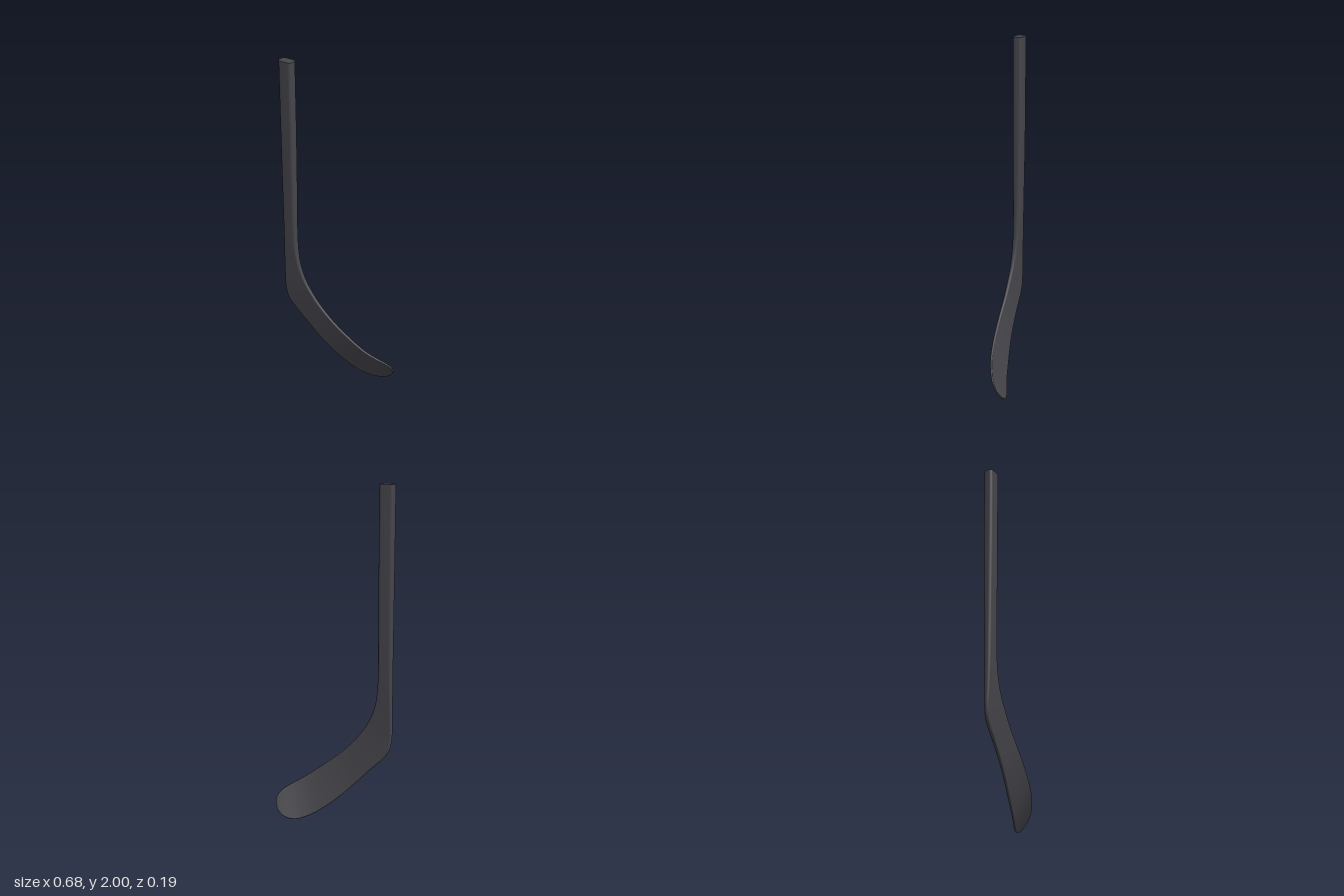
import * as THREE from 'three';

// Stations from the butt end to the toe:
// heel-side edge (x, y, z), upper-side edge (x, y, z), thickness
const stations = [
  [-0.34, 2.0, 0.067, -0.255, 2.0, 0.067, 0.055],
  [-0.34, 1.6, 0.067, -0.255, 1.6, 0.067, 0.055],
  [-0.34, 1.3, 0.068, -0.255, 1.3, 0.068, 0.051],
  [-0.34, 1.1, 0.069, -0.255, 1.1, 0.069, 0.047],
  [-0.34, 0.92, 0.07, -0.255, 0.95, 0.07, 0.043],
  [-0.341, 0.76, 0.071, -0.25, 0.83, 0.071, 0.038],
  [-0.342, 0.63, 0.071, -0.235, 0.73, 0.072, 0.031],
  [-0.339, 0.52, 0.068, -0.2, 0.635, 0.072, 0.026],
  [-0.31, 0.44, 0.062, -0.15, 0.555, 0.071, 0.023],
  [-0.2, 0.325, 0.051, -0.09, 0.48, 0.068, 0.02],
  [-0.1, 0.22, 0.035, 0.0, 0.395, 0.062, 0.017],
  [0.0, 0.125, 0.007, 0.1, 0.315, 0.048, 0.015],
  [0.1, 0.05, -0.026, 0.18, 0.254, 0.03, 0.014],
  [0.17, 0.015, -0.057, 0.235, 0.218, 0.011, 0.013],
  [0.225, 0.005, -0.079, 0.277, 0.191, -0.009, 0.013],
  [0.28, 0.02, -0.091, 0.315, 0.163, -0.031, 0.012],
  [0.318, 0.052, -0.086, 0.334, 0.136, -0.048, 0.011],
  [0.337, 0.088, -0.07, 0.34, 0.111, -0.06, 0.009],
];
const STEPS = 6, CORNER = 5, SIDES = 4 * (CORNER + 1);

const curveOf = (pick) => new THREE.CatmullRomCurve3(
  stations.map((s) => new THREE.Vector3(...pick(s))), false, 'catmullrom', 0.5);

// Rounded rectangle, counter-clockwise
function roundedSection(w, t) {
  const r = Math.min(0.018, t * 0.46, w * 0.46), pts = [];
  for (let c = 0; c < 4; c++) {
    const sx = c === 0 || c === 3 ? 1 : -1, sy = c < 2 ? 1 : -1;
    for (let k = 0; k <= CORNER; k++) {
      const a = (c + k / CORNER) * Math.PI / 2;
      pts.push([sx * (w / 2 - r) + r * Math.cos(a), sy * (t / 2 - r) + r * Math.sin(a)]);
    }
  }
  return pts;
}

// Flat lid over one ring of the loft
function capGeometry(ring, flip) {
  const geo = new THREE.BufferGeometry().setFromPoints(ring);
  const index = [];
  for (let j = 1; j < ring.length - 1; j++) index.push(0, flip ? j + 1 : j, flip ? j : j + 1);
  geo.setIndex(index);
  geo.computeVertexNormals();
  return geo;
}

export function createModel() {
  const group = new THREE.Group();
  const material = new THREE.MeshStandardMaterial({ color: 0x45454b });
  const add = (name, geo) => {
    const mesh = new THREE.Mesh(geo, material);
    mesh.name = name;
    group.add(mesh);
  };

  // Loft the section between the two edge curves
  const heelEdge = curveOf((s) => s.slice(0, 3));
  const upperEdge = curveOf((s) => s.slice(3, 6));
  const thickness = curveOf((s) => [s[6], 0, 0]);
  const count = (stations.length - 1) * STEPS;
  const middle = (t) => heelEdge.getPoint(t).add(upperEdge.getPoint(t)).multiplyScalar(0.5);
  const rings = [];
  for (let i = 0; i <= count; i++) {
    const t = i / count;
    const across = upperEdge.getPoint(t).sub(heelEdge.getPoint(t));
    const width = across.length();
    across.normalize();
    const along = middle(Math.min(1, t + 0.004)).sub(middle(Math.max(0, t - 0.004)));
    const normal = along.cross(across).normalize();
    const center = middle(t);
    rings.push(roundedSection(width, thickness.getPoint(t).x).map(([u, v]) =>
      center.clone().addScaledVector(across, u).addScaledVector(normal, v)));
  }

  const skin = new THREE.BufferGeometry().setFromPoints(rings.flat());
  const strip = (from, to) => {
    const index = [];
    for (let i = from; i < to; i++) {
      for (let j = 0; j < SIDES; j++) {
        const k = (j + 1) % SIDES, a = i * SIDES, b = a + SIDES;
        index.push(a + j, a + k, b + j, a + k, b + k, b + j);
      }
    }
    return index;
  };
  skin.setIndex(strip(0, count));
  skin.computeVertexNormals();

  // Shaft and blade share the smooth skin
  const split = 5 * STEPS;
  add('shaft', skin.clone().setIndex(strip(0, split)));
  add('blade', skin.clone().setIndex(strip(split, count)));

  // Closed ends
  add('buttEnd', capGeometry(rings[0], true));
  add('toeEnd', capGeometry(rings[count], false));
  return group;
}
